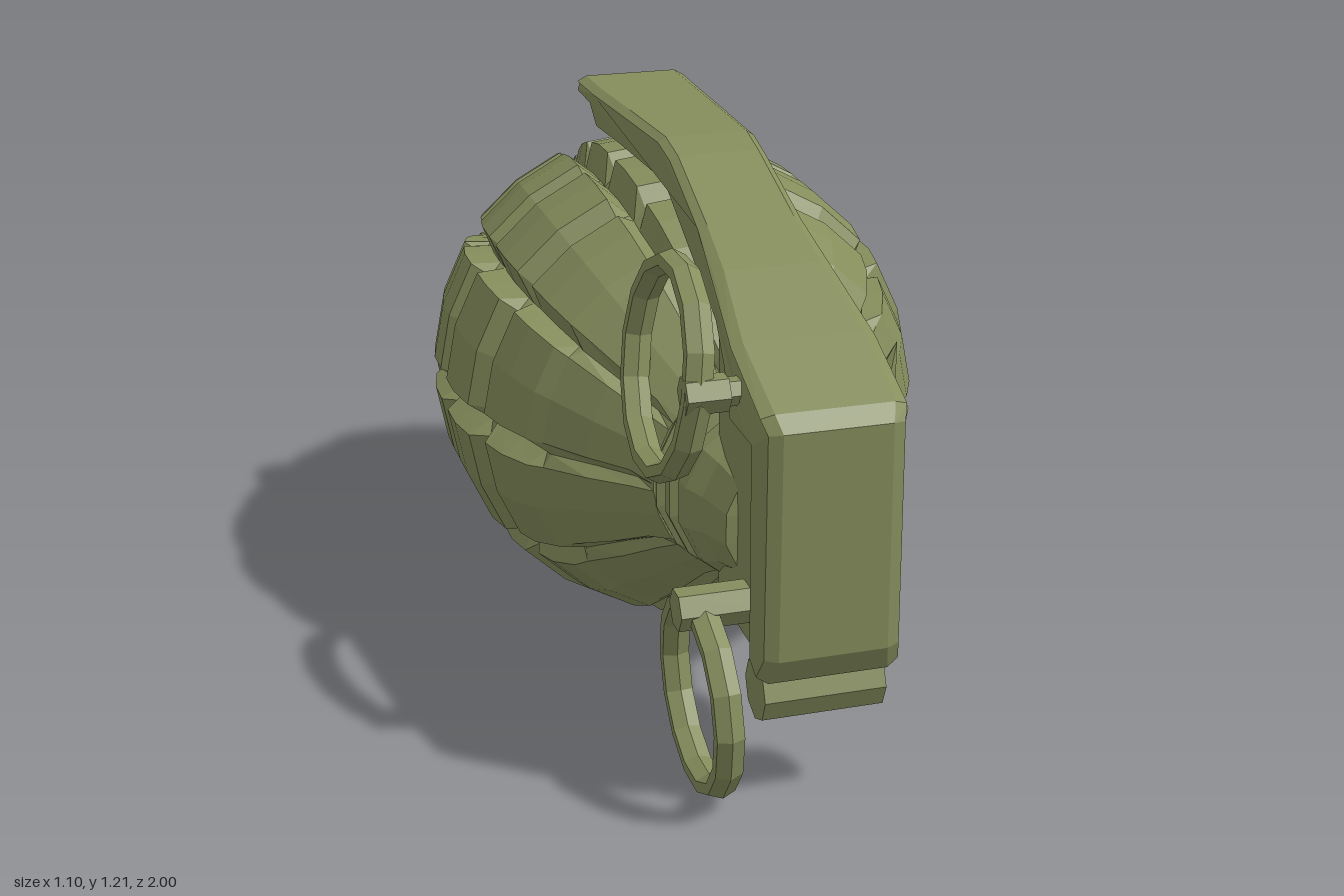
import * as THREE from 'three';
import { toCreasedNormals } from 'three/addons/utils/BufferGeometryUtils.js';

const olive = new THREE.MeshStandardMaterial({ color: 0x858d5c, flatShading: true });
const AXIS_Y = 0.56; // height of the body's long axis

function add(parent, name, geometry, x = 0, y = 0, z = 0) {
  const mesh = new THREE.Mesh(geometry, olive);
  mesh.name = name;
  mesh.position.set(x, y, z);
  parent.add(mesh);
  return mesh;
}

// Segmented shell: rings [z, radius, groove depth] with ten raised blocks around the axis
function bodyGeometry() {
  const rings = [
    [-1, 0, 0], [-1, 0.19, 0], [-0.965, 0.265, 0], [-0.925, 0.275, 0.005],
    [-0.905, 0.305, 0.035], [-0.82, 0.37, 0.05], [-0.73, 0.415, 0.05], [-0.695, 0.4, 0.02],
    [-0.66, 0.45, 0.055], [-0.58, 0.49, 0.06], [-0.505, 0.515, 0.06], [-0.475, 0.475, 0.02],
    [-0.445, 0.53, 0.06], [-0.36, 0.548, 0.06], [-0.275, 0.55, 0.06], [-0.24, 0.505, 0.02],
    [-0.205, 0.55, 0.06], [-0.12, 0.55, 0.06], [-0.03, 0.535, 0.06], [0.0, 0.49, 0.02],
    [0.03, 0.51, 0.055], [0.11, 0.49, 0.055], [0.195, 0.45, 0.05], [0.225, 0.42, 0.02],
    [0.32, 0.345, 0.03], [0.4, 0.27, 0.02], [0.45, 0.23, 0], [0.45, 0, 0],
  ];
  const offsets = [-18, -14, 0, 14];
  const n = 40, pos = [], index = [];
  rings.forEach(([z, r, d]) => {
    for (let j = 0; j < n; j++) {
      const k = j % 4;
      const a = THREE.MathUtils.degToRad(18 + 36 * Math.floor(j / 4) + offsets[k]);
      const rad = k === 0 ? r - d : r;
      pos.push(rad * Math.cos(a), rad * Math.sin(a), z);
    }
  });
  for (let i = 0; i < rings.length - 1; i++) {
    for (let j = 0; j < n; j++) {
      const a = i * n + j, b = i * n + (j + 1) % n;
      index.push(a, b, b + n, a, b + n, a + n);
    }
  }
  const g = new THREE.BufferGeometry();
  g.setAttribute('position', new THREE.Float32BufferAttribute(pos, 3));
  g.setIndex(index);
  g.computeVertexNormals();
  return toCreasedNormals(g, 0.3);
}

// Side profile in (z, y), extruded across x to a half width that varies along z
function sideExtrude(points, widths, bevel) {
  const shape = new THREE.Shape(points.map(([z, y]) => new THREE.Vector2(z, y)));
  const g = new THREE.ExtrudeGeometry(shape, {
    depth: 0.84, bevelThickness: 0.08, bevelSize: bevel, bevelOffset: -bevel, bevelSegments: 1,
  });
  g.translate(0, 0, -0.42).rotateY(-Math.PI / 2);
  const p = g.attributes.position;
  for (let i = 0; i < p.count; i++) {
    const z = p.getZ(i);
    let k = 0;
    while (k < widths.length - 2 && z > widths[k + 1][0]) k++;
    const [z0, w0] = widths[k], [z1, w1] = widths[k + 1];
    const t = THREE.MathUtils.clamp((z - z0) / (z1 - z0), 0, 1);
    p.setX(i, p.getX(i) * 2 * (w0 + (w1 - w0) * t));
  }
  g.computeVertexNormals();
  return g;
}

// Cylinder lying along x
function crossBar(radius, length, sides) {
  return new THREE.CylinderGeometry(radius, radius, length, sides).rotateZ(Math.PI / 2);
}

// Pull ring lying in the side plane
function ringGeometry(radius) {
  return new THREE.TorusGeometry(radius, 0.024, 6, 14).rotateY(Math.PI / 2).scale(1.4, 1, 1);
}

export function createModel() {
  const model = new THREE.Group();
  model.name = 'grenade';

  add(model, 'segmentedBody', bodyGeometry(), 0, AXIS_Y, 0);

  // Threaded neck tapering into the fuse head
  const neckProfile = [
    [0, 0.4], [0.23, 0.43], [0.23, 0.455], [0.195, 0.465], [0.195, 0.48], [0.22, 0.49], [0.22, 0.52],
    [0.19, 0.53], [0.19, 0.545], [0.21, 0.555], [0.205, 0.59], [0.18, 0.63], [0.155, 0.72], [0, 0.74],
  ].map(([r, z]) => new THREE.Vector2(r, z));
  add(model, 'threadedNeck', new THREE.LatheGeometry(neckProfile, 14).rotateX(Math.PI / 2), 0, AXIS_Y, 0);

  // Fuse head under the lever
  add(model, 'fuseHead', sideExtrude(
    [[0.57, 0.35], [0.6, 0.33], [0.9, 0.33], [0.9, 0.88], [0.57, 1.0]],
    [[0.57, 0.125], [0.9, 0.13]], 0.015));

  // Safety lever: front plate, sloping shoulder, long rear arm with a stepped lip
  add(model, 'safetyLever', sideExtrude(
    [[0.87, 0.34], [0.93, 0.31], [0.96, 0.37], [0.965, 0.86], [0.94, 0.895], [0.75, 0.975], [0.55, 1.06],
      [0.4, 1.115], [0.17, 1.2], [0.08, 1.22], [-0.2, 1.215], [-0.42, 1.21], [-0.56, 1.21], [-0.59, 1.2],
      [-0.59, 1.17], [-0.56, 1.165], [-0.45, 1.16], [-0.4, 1.115], [-0.2, 1.12], [0.12, 1.12],
      [0.4, 1.01], [0.56, 0.95], [0.66, 0.89], [0.73, 0.8], [0.87, 0.8]],
    [[-0.59, 0.115], [-0.55, 0.138], [-0.42, 0.13], [0.15, 0.108], [0.4, 0.115], [0.55, 0.125],
      [0.75, 0.152], [0.93, 0.152], [0.965, 0.135]], 0.012));

  // Lug below the head and the small eye that carries the lower ring
  add(model, 'bottomLug', crossBar(0.066, 0.26, 8), -0.005, 0.268, 0.87);
  add(model, 'lowerRingEye', crossBar(0.045, 0.18, 6), -0.19, 0.43, 0.79);

  // Safety pin through the head, with bent tips on its far end
  add(model, 'safetyPin', crossBar(0.03, 0.42, 6), -0.04, 0.88, 0.76);
  add(model, 'pinEye', crossBar(0.04, 0.09, 6), -0.21, 0.88, 0.76);
  for (const s of [-1, 1]) {
    const tip = add(model, 'pinTip', new THREE.ConeGeometry(0.022, 0.08, 5), 0.185, 0.88 + s * 0.03, 0.755);
    tip.rotation.set(0, 0, s > 0 ? -0.3 : Math.PI + 0.3);
  }

  // Pull rings on the -x side
  const lowerRing = add(model, 'lowerPullRing', ringGeometry(0.197), -0.222, 0.226, 0.777);
  lowerRing.rotation.z = 0.03;
  const upperRing = add(model, 'upperPullRing', ringGeometry(0.22), -0.23, 0.865, 0.55);
  upperRing.rotation.z = -0.13;

  return model;
}
